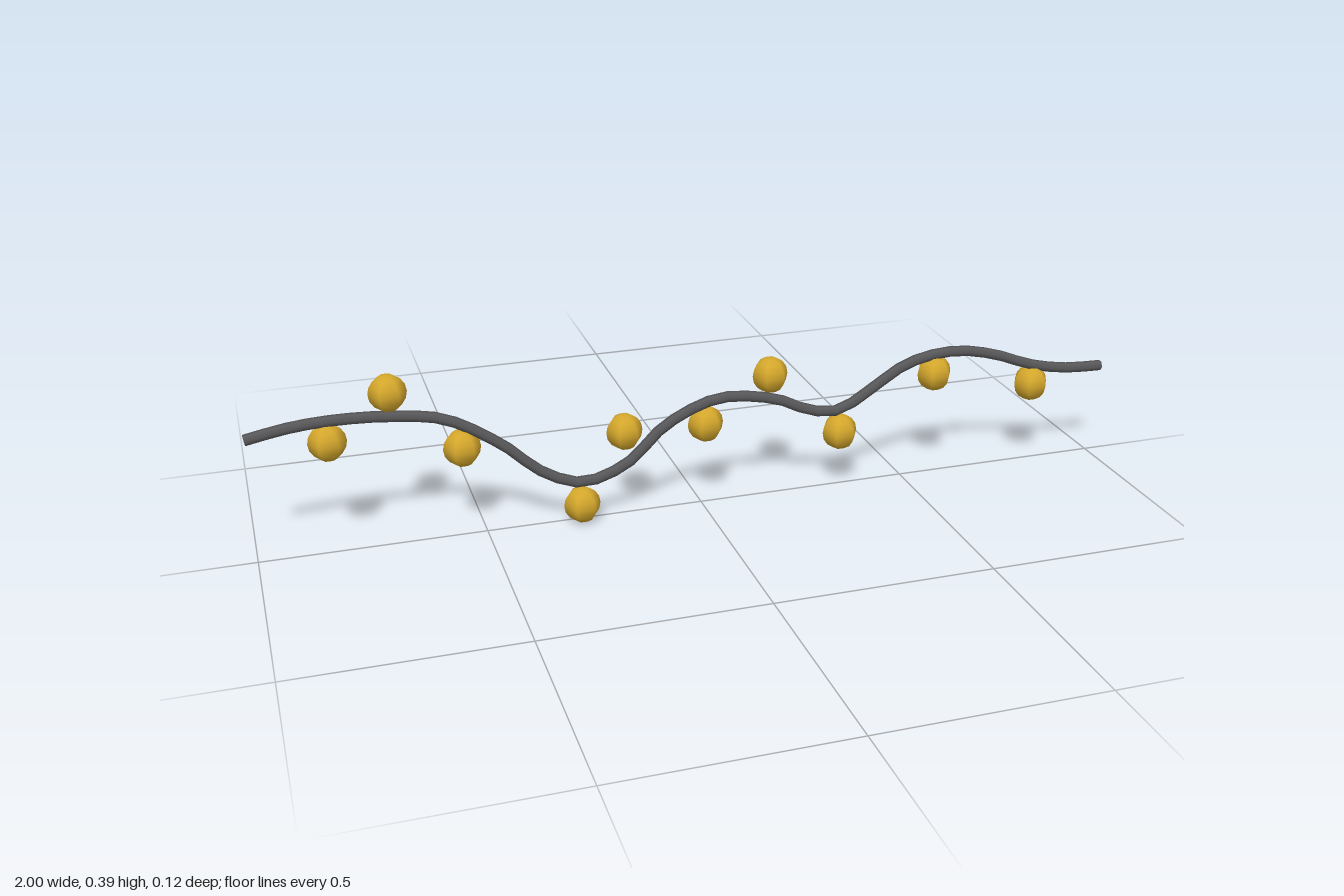
import * as THREE from 'three';

export function createModel() {
  const model = new THREE.Group();
  model.name = 'beadedTwig';
  const twigMat = new THREE.MeshStandardMaterial({ color: 0x58585a });
  const beadMat = new THREE.MeshStandardMaterial({ color: 0xd4a72c });

  // wavy twig swept along a smooth path
  const path = [
    [-1, 0.283, -0.013], [-0.91, 0.299, -0.013], [-0.82, 0.305, -0.013], [-0.7, 0.3, -0.012],
    [-0.58, 0.28, -0.008], [-0.46, 0.21, 0.004], [-0.375, 0.137, 0.014], [-0.285, 0.1, 0.019],
    [-0.18, 0.13, 0.016], [-0.09, 0.207, 0.01], [0.01, 0.252, 0.007], [0.07, 0.259, 0.007],
    [0.18, 0.24, 0.012], [0.26, 0.205, 0.018], [0.33, 0.199, 0.02], [0.4, 0.235, 0.018],
    [0.5, 0.292, 0.015], [0.61, 0.31, 0.016], [0.71, 0.294, 0.019], [0.82, 0.255, 0.024],
    [0.91, 0.238, 0.027], [1, 0.235, 0.03],
  ].map((p) => new THREE.Vector3(...p));
  const curve = new THREE.CatmullRomCurve3(path);
  const radius = 0.0125;
  const twig = new THREE.Mesh(new THREE.TubeGeometry(curve, 48, radius, 6), twigMat);
  twig.name = 'twig';
  model.add(twig);

  // flat caps closing both ends
  for (const t of [0, 1]) {
    const cap = new THREE.Mesh(new THREE.CircleGeometry(radius, 6), twigMat);
    const end = curve.getPointAt(t);
    const outward = curve.getTangentAt(t).multiplyScalar(t ? 1 : -1);
    cap.position.copy(end);
    cap.lookAt(end.clone().add(outward));
    cap.name = t ? 'leftEndCap' : 'rightEndCap';
    model.add(cap);
  }

  // six-sided beads alternating above and below the twig
  const beadGeo = new THREE.SphereGeometry(0.042, 6, 8);
  const beads = [
    [-0.83, 0.255, -0.016], [-0.695, 0.35, -0.022], [-0.545, 0.208, -0.006],
    [-0.285, 0.043, 0.015], [-0.18, 0.202, 0], [0.01, 0.198, 0.002],
    [0.165, 0.298, 0], [0.333, 0.143, 0.018], [0.57, 0.259, 0.011], [0.82, 0.208, 0.022],
  ];
  beads.forEach((p, i) => {
    const bead = new THREE.Mesh(beadGeo, beadMat);
    bead.position.set(...p);
    bead.name = `bead${i + 1}`;
    model.add(bead);
  });
  return model;
}
